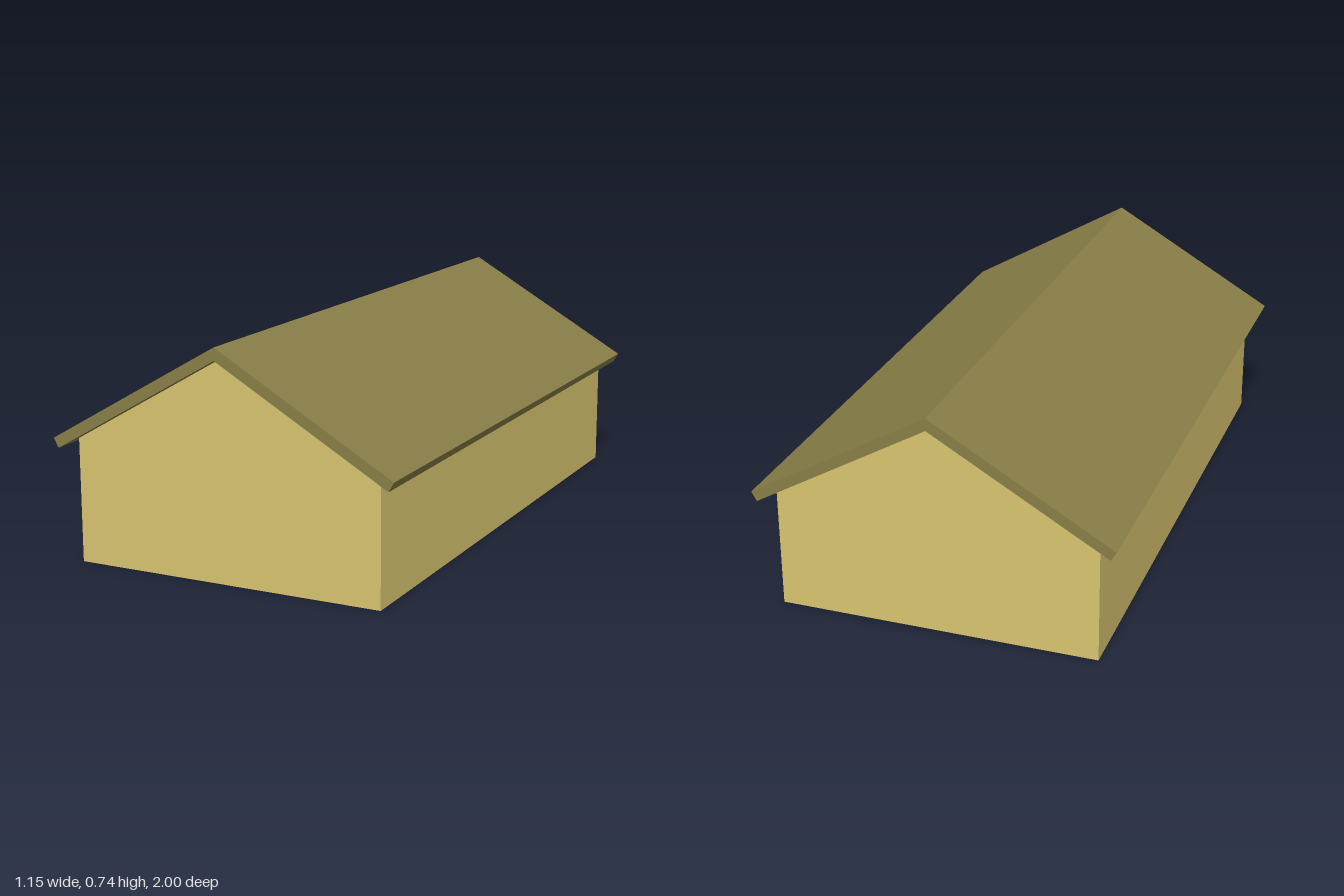
import * as THREE from 'three';

const HALF_W = 0.515, EAVE = 0.398, APEX = 0.695, HALF_L = 0.955;

const material = (color, side = THREE.FrontSide) =>
  new THREE.MeshStandardMaterial({ color, side });

function shapeFrom(points) {
  return new THREE.Shape(points.map(([x, y]) => new THREE.Vector2(x, y)));
}

export function createModel() {
  const group = new THREE.Group();
  group.name = 'gabledHouse';
  const wallMat = material(0xd8c570, THREE.DoubleSide);

  const add = (name, geometry, mat) => {
    const mesh = new THREE.Mesh(geometry, mat);
    mesh.name = name;
    group.add(mesh);
    return mesh;
  };

  // Gable ends
  const gable = new THREE.ShapeGeometry(shapeFrom([
    [-HALF_W, 0], [HALF_W, 0], [HALF_W, EAVE], [0, APEX], [-HALF_W, EAVE],
  ]));
  for (const [name, s] of [['frontGable', 1], ['backGable', -1]]) {
    const wall = add(name, gable, wallMat);
    wall.position.z = s * HALF_L;
    if (s < 0) wall.rotation.y = Math.PI;
  }

  // Long side walls
  const side = new THREE.PlaneGeometry(2 * HALF_L, EAVE);
  for (const [name, s] of [['leftWall', 1], ['rightWall', -1]]) {
    const wall = add(name, side, wallMat);
    wall.position.set(s * HALF_W, EAVE / 2, 0);
    wall.rotation.y = s * Math.PI / 2;
  }

  // Floor, set just above the wall bottoms
  const floor = add('floor', new THREE.PlaneGeometry(2 * HALF_W, 2 * HALF_L),
    material(0x777777, THREE.DoubleSide));
  floor.rotation.x = Math.PI / 2;
  floor.position.y = 0.015;

  // Roof: chevron section with square-cut eaves
  const roof = new THREE.ExtrudeGeometry(shapeFrom([
    [0, 0.735], [-0.577, 0.402], [-0.56, 0.372], [0, APEX], [0.56, 0.372], [0.577, 0.402],
  ]), { depth: 2, bevelEnabled: false });
  roof.translate(0, 0, -1);
  add('roof', roof, material(0x8a7f48));

  return group;
}
